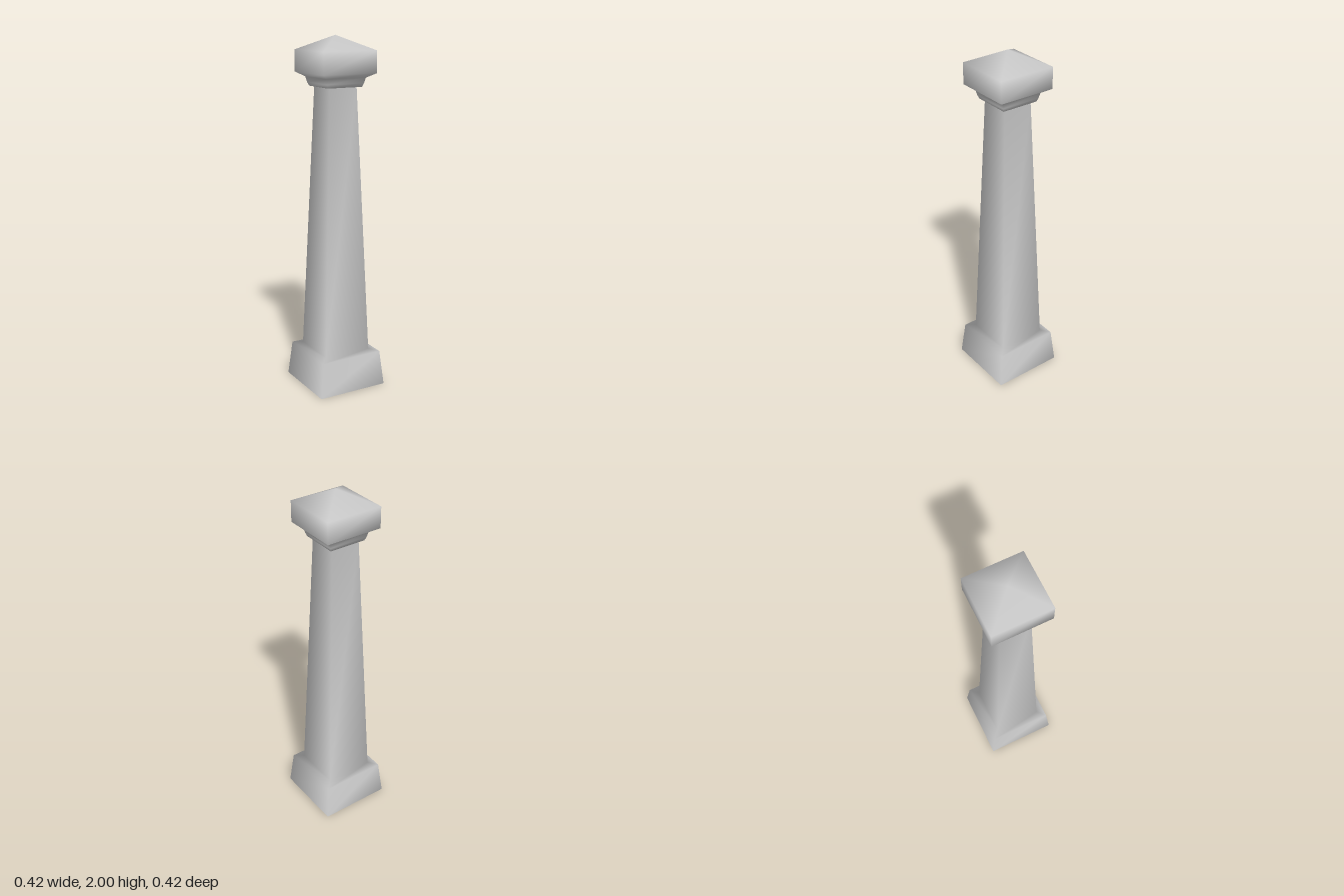
import * as THREE from 'three';

// Square cross-sections from the foot up: [half width, height]
const RINGS = [
  [0.208, 0], [0.188, 0.2], [0.141, 0.21],                  // base
  [0.085, 1.725],                                           // shaft
  [0.106, 1.725], [0.114, 1.745], [0.121, 1.775],           // moulded neck
  [0.164, 1.8], [0.164, 1.92], [0, 2],                      // cap and its point
];

// Each part covers the bands between two ring numbers
const PARTS = { base: [0, 2], shaft: [2, 3], neck: [3, 6], cap: [6, 9] };

// Corner directions, anticlockwise seen from above
const CORNERS = [[1, 1], [1, -1], [-1, -1], [-1, 1]];

function bandIndices(first, last) {
  const indices = [];
  for (let r = first; r < last; r++) {
    for (let i = 0; i < 4; i++) {
      const j = (i + 1) % 4;
      const a = r * 4 + i, b = r * 4 + j;
      if (r + 1 === RINGS.length - 1) {
        indices.push(a, b, (r + 1) * 4); // pyramid sides share one tip
      } else {
        indices.push(a, b, b + 4, a, b + 4, a + 4);
      }
    }
  }
  return indices;
}

export function createModel() {
  const group = new THREE.Group();
  group.name = 'pillar';

  const stone = new THREE.MeshStandardMaterial({ color: 0xcccccc, side: THREE.DoubleSide });
  stone.name = 'grey stone';

  // Whole outline, open underneath, so that the shading runs smoothly across parts
  const positions = [];
  RINGS.forEach(([half, y], r) => {
    if (r === RINGS.length - 1) positions.push(0, y, 0);
    else CORNERS.forEach(([x, z]) => positions.push(x * half, y, z * half));
  });
  const whole = new THREE.BufferGeometry();
  whole.setAttribute('position', new THREE.Float32BufferAttribute(positions, 3));
  whole.setIndex(bandIndices(0, RINGS.length - 1));
  whole.computeVertexNormals();

  // Parts reuse the same points and normals
  for (const [name, [first, last]] of Object.entries(PARTS)) {
    const geometry = new THREE.BufferGeometry();
    geometry.setAttribute('position', whole.getAttribute('position'));
    geometry.setAttribute('normal', whole.getAttribute('normal'));
    geometry.setIndex(bandIndices(first, last));
    const mesh = new THREE.Mesh(geometry, stone);
    mesh.name = name;
    group.add(mesh);
  }
  return group;
}
